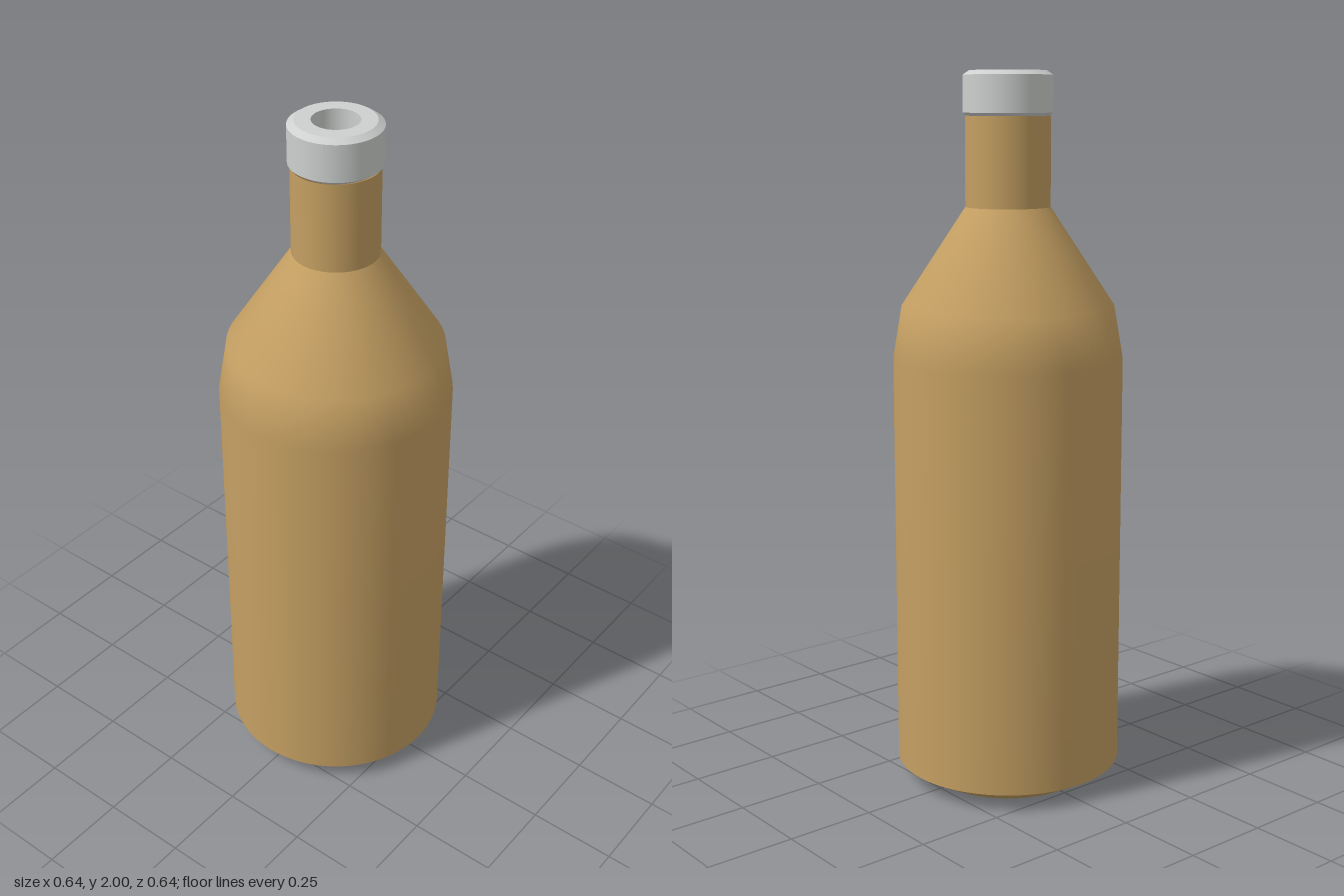
import * as THREE from 'three';

const SEGMENTS = 64;

export function createModel() {
  const amber = new THREE.MeshStandardMaterial({ color: 0xc49f62, side: THREE.DoubleSide });
  amber.name = 'tan bottle';
  const silver = new THREE.MeshStandardMaterial({ color: 0xcdd0ce, side: THREE.DoubleSide });
  silver.name = 'light grey cap';

  // Revolves one smooth [radius, height] profile; separate calls leave a sharp edge between them.
  const turn = (parent, name, material, profile) => {
    const points = profile.map(([r, y]) => new THREE.Vector2(r, y));
    const mesh = new THREE.Mesh(new THREE.LatheGeometry(points, SEGMENTS), material);
    mesh.name = name;
    parent.add(mesh);
  };

  const model = new THREE.Group();
  model.name = 'bottle';

  // Glass: open foot, body running smoothly into the shoulder, straight neck
  const glass = new THREE.Group();
  glass.name = 'glass';
  turn(glass, 'footBevel', amber, [[0.23, 0], [0.32, 0.05]]);
  turn(glass, 'bodyAndShoulder', amber, [[0.32, 0.05], [0.32, 1.22], [0.295, 1.365], [0.117, 1.635]]);
  turn(glass, 'neck', amber, [[0.117, 1.635], [0.117, 1.88]]);

  // Cap: bevelled ring with a hole through it
  const cap = new THREE.Group();
  cap.name = 'cap';
  turn(cap, 'capUnderside', silver, [[0.0625, 1.877], [0.108, 1.877]]);
  turn(cap, 'capLowerBevel', silver, [[0.108, 1.877], [0.123, 1.888]]);
  turn(cap, 'capSide', silver, [[0.123, 1.888], [0.123, 1.988]]);
  turn(cap, 'capUpperBevel', silver, [[0.123, 1.988], [0.105, 2]]);
  turn(cap, 'capTop', silver, [[0.105, 2], [0.0625, 2]]);
  turn(cap, 'capHole', silver, [[0.0625, 2], [0.0625, 1.877]]);

  model.add(glass, cap);
  return model;
}
